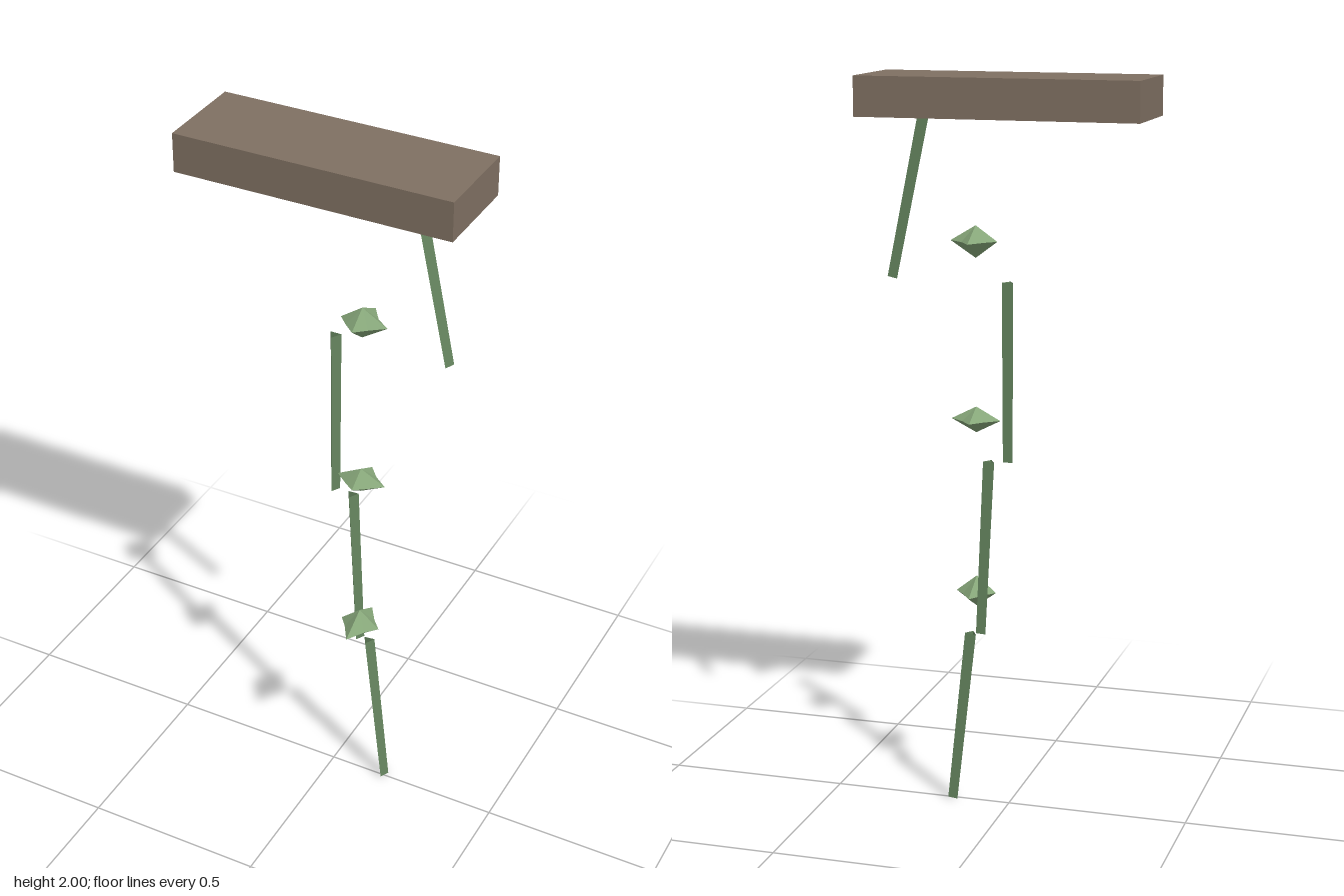
import * as THREE from 'three';

const Z = -0.0035; // depth of the planter and stems

function material(color) {
  return new THREE.MeshStandardMaterial({ color, flatShading: true, side: THREE.DoubleSide });
}

// Box without its bottom face
function openBox(w, h, d) {
  const geometry = new THREE.BoxGeometry(w, h, d);
  const index = Array.from(geometry.index.array);
  index.splice(18, 6);
  geometry.setIndex(index);
  geometry.clearGroups();
  return geometry;
}

// Faceted leaf: top and bottom points joined to a notched eight-point rim.
// tips are the rim radii towards +z, +x, -z, -x.
function leafGeometry(tips, top, bottom, notch) {
  const rim = [];
  for (let i = 0; i < 8; i++) {
    const r = i % 2 ? notch : tips[i / 2];
    const a = (i * Math.PI) / 4;
    rim.push([r * Math.sin(a), 0, r * Math.cos(a)]);
  }
  const points = [];
  rim.forEach((p, i) => {
    const q = rim[(i + 1) % 8];
    points.push(...[0, top, 0], ...p, ...q);
    points.push(...[0, -bottom, 0], ...q, ...p);
  });
  const geometry = new THREE.BufferGeometry();
  geometry.setAttribute('position', new THREE.Float32BufferAttribute(points, 3));
  geometry.computeVertexNormals();
  return geometry;
}

export function createModel() {
  const model = new THREE.Group();
  model.name = 'hangingVine';
  const wood = material(0x7f7062);
  const stemGreen = material(0x66855f);
  const leafGreen = material(0x86a679);

  const add = (name, geometry, mat, x, y, z) => {
    const mesh = new THREE.Mesh(geometry, mat);
    mesh.name = name;
    mesh.position.set(x, y, z);
    model.add(mesh);
    return mesh;
  };

  // Support block, hollow underneath
  add('supportBlock', openBox(0.756, 0.105, 0.259), wood, 0, 1.9475, Z);

  // Three-sided stem pieces: top x, top y, bottom x, bottom y
  const stems = [
    [0.218, 1.947, 0.32, 1.463],
    [0, 1.462, 0, 0.977],
    [0.053, 0.975, 0.077, 0.49],
    [0.106, 0.488, 0.16, 0.002],
  ];
  stems.forEach(([x1, y1, x2, y2], i) => {
    const length = Math.hypot(x2 - x1, y1 - y2);
    const geometry = new THREE.CylinderGeometry(0.018, 0.0155, length, 3, 1, true);
    const stem = add(`stem${i + 1}`, geometry, stemGreen, (x1 + x2) / 2, (y1 + y2) / 2, Z);
    stem.rotation.z = Math.atan2(x2 - x1, y1 - y2);
  });

  // Leaves beside the stem
  const leaves = [
    { y: 1.56, tips: [0.057, 0.07, 0.075, 0.06], top: 0.042, bottom: 0.045 },
    { y: 1.075, tips: [0.052, 0.07, 0.066, 0.068], top: 0.036, bottom: 0.035 },
    { y: 0.59, tips: [0.08, 0.058, 0.077, 0.055], top: 0.046, bottom: 0.04 },
  ];
  leaves.forEach(({ y, tips, top, bottom }, i) => {
    add(`leaf${i + 1}`, leafGeometry(tips, top, bottom, 0.043), leafGreen, 0.107, y, 0.052);
  });

  return model;
}
